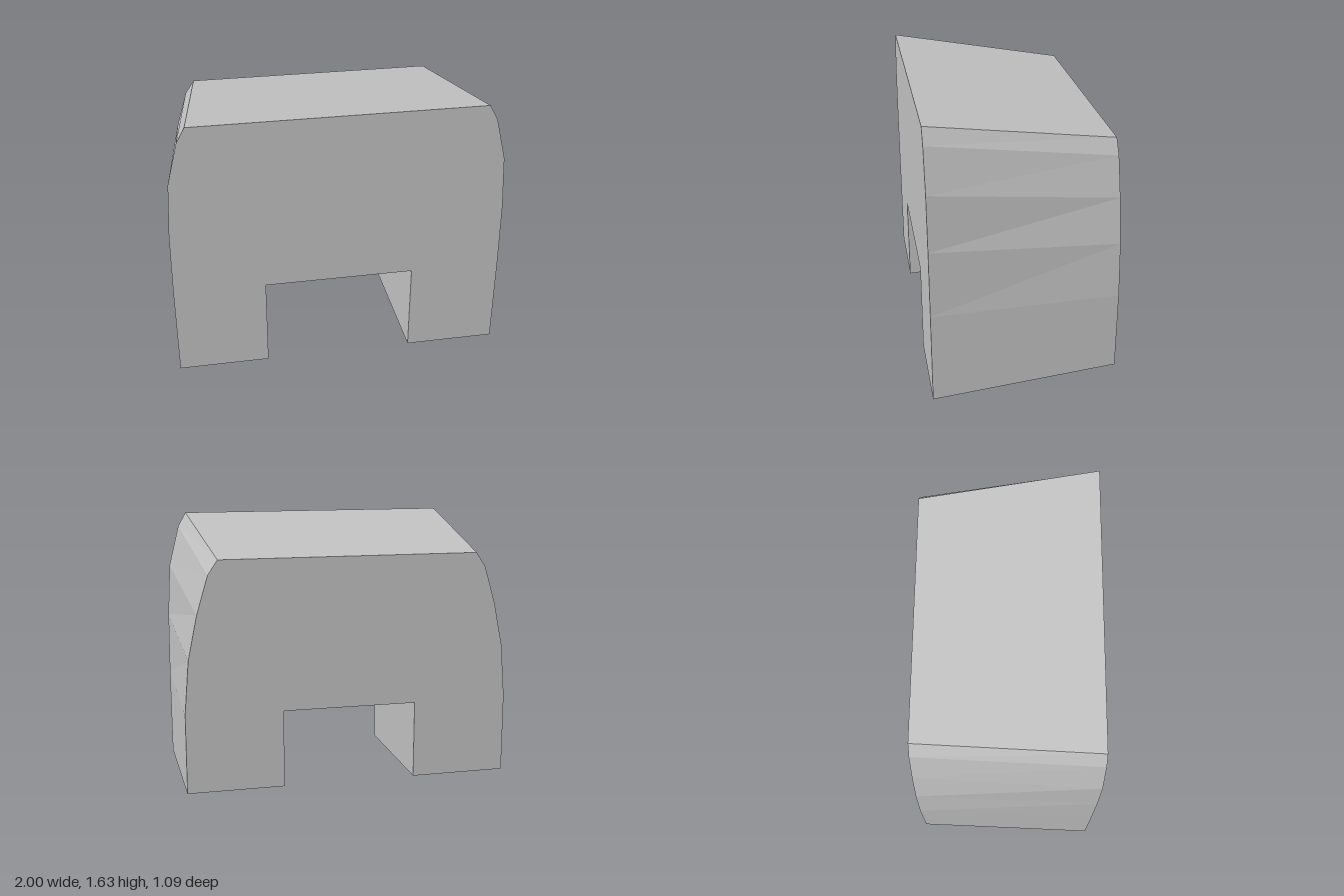
import * as THREE from 'three';

// Half profiles [x, y], from the notch centre around the outside to the top
const frontHalf = [[0.45, 0.56], [0.45, 0], [1, 0], [1, 0.56], [0.995, 0.96], [0.975, 1.29], [0.91, 1.545], [0.86, 1.635]];
const backHalf = [[0.4, 0.56], [0.4, 0.093], [0.975, 0.093], [0.973, 0.57], [0.945, 0.89], [0.89, 1.15], [0.822, 1.375], [0.765, 1.46]];
const halfDepth = 0.543;

// Mirror a half profile into a closed counter-clockwise outline
function outline(half) {
  const mirrored = half.map(([x, y]) => [-x, y]).reverse();
  return [...half, ...mirrored].map(([x, y]) => new THREE.Vector2(x, y));
}

// Loft between the front and back outlines, with flat end caps
function loft(front, back) {
  const positions = [];
  const put = (p, z) => positions.push(p.x, p.y, z);
  const n = front.length;
  for (let i = 0; i < n; i++) {
    const j = (i + 1) % n;
    put(front[i], halfDepth); put(back[i], -halfDepth); put(back[j], -halfDepth);
    put(front[i], halfDepth); put(back[j], -halfDepth); put(front[j], halfDepth);
  }
  for (const [a, b, c] of THREE.ShapeUtils.triangulateShape(front, [])) {
    for (const k of [a, b, c]) put(front[k], halfDepth);
  }
  for (const [a, b, c] of THREE.ShapeUtils.triangulateShape(back, [])) {
    for (const k of [a, c, b]) put(back[k], -halfDepth);
  }
  const geometry = new THREE.BufferGeometry();
  geometry.setAttribute('position', new THREE.Float32BufferAttribute(positions, 3));
  geometry.computeVertexNormals();
  return geometry;
}

export function createModel() {
  const group = new THREE.Group();
  group.name = 'archBlock';
  const grey = new THREE.MeshStandardMaterial({ color: 0xc0c0c0 });
  grey.name = 'light grey';

  // Tapered block with a notch running through its underside
  const body = new THREE.Mesh(loft(outline(frontHalf), outline(backHalf)), grey);
  body.name = 'notchedBody';
  group.add(body);
  return group;
}
